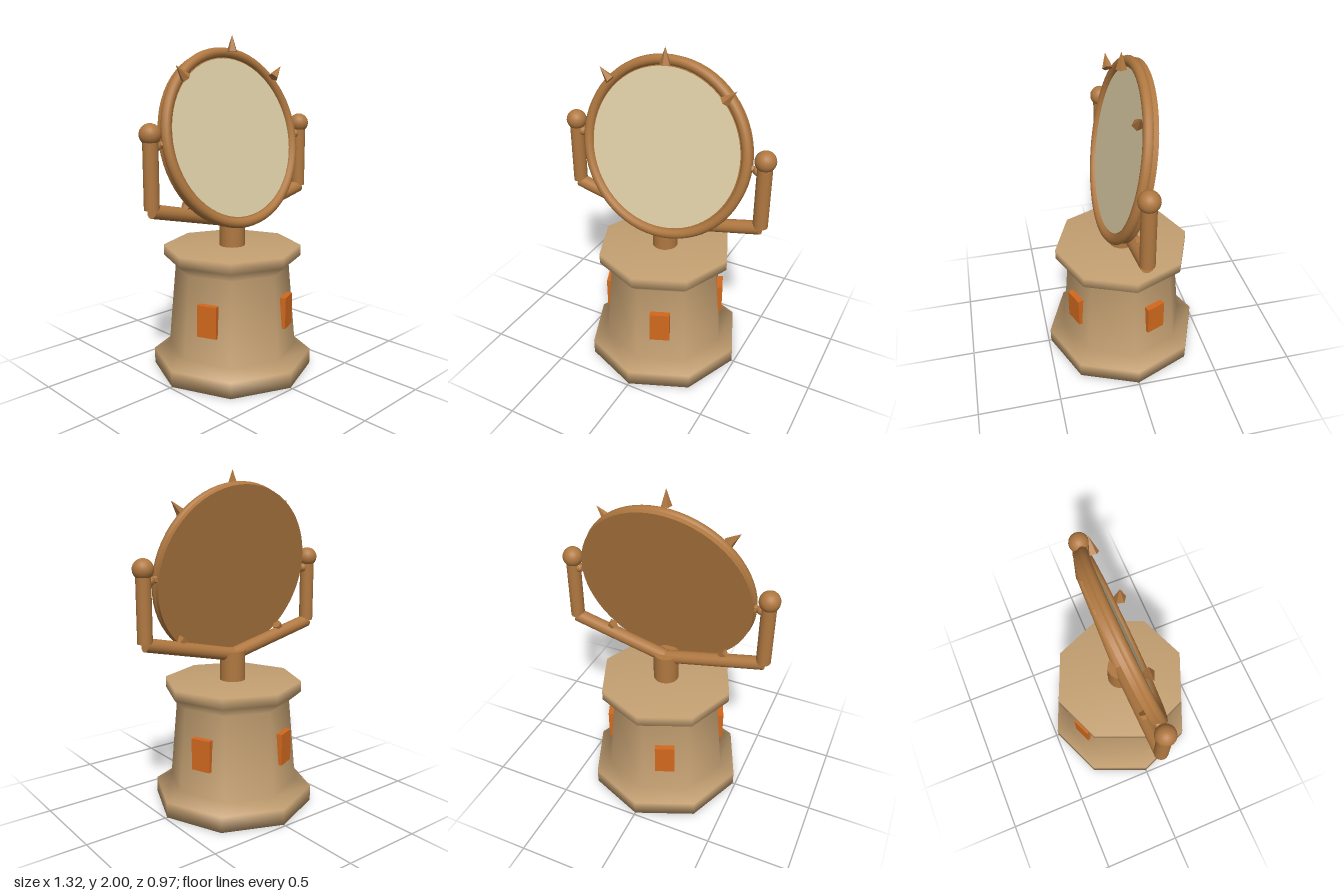
import * as THREE from 'three';

const mat = (name, color) => {
  const m = new THREE.MeshStandardMaterial({ color });
  m.name = name;
  return m;
};

export function createModel() {
  const sandstone = mat('sandstone', 0xc4a072);
  const bronze = mat('bronze', 0xb07840);
  const cream = mat('cream mirror', 0xe0d0a8);
  const orange = mat('orange window', 0xd2691e);

  const model = new THREE.Group();
  model.name = 'mirrorTower';

  const add = (parent, name, geometry, material, x = 0, y = 0, z = 0) => {
    const mesh = new THREE.Mesh(geometry, material);
    mesh.name = name;
    mesh.position.set(x, y, z);
    parent.add(mesh);
    return mesh;
  };

  // Cylinder running between two points
  const rod = (name, a, b, radius) => {
    const dir = b.clone().sub(a);
    const mesh = add(model, name, new THREE.CylinderGeometry(radius, radius, dir.length(), 16), bronze);
    mesh.position.copy(a).add(b).multiplyScalar(0.5);
    mesh.quaternion.setFromUnitVectors(new THREE.Vector3(0, 1, 0), dir.normalize());
  };

  // Eight-sided tower, softly shaded
  const profile = [
    [0, 0], [0.485, 0], [0.485, 0.095], [0.39, 0.14],
    [0.345, 0.64], [0.415, 0.7], [0.415, 0.765], [0, 0.765],
  ].map(([r, y]) => new THREE.Vector2(r, y));
  add(model, 'tower', new THREE.LatheGeometry(profile, 8), sandstone);

  // Windows on every other face
  for (let i = 0; i < 4; i++) {
    const a = Math.PI / 8 + (i * Math.PI) / 2;
    const w = add(model, 'window', new THREE.BoxGeometry(0.12, 0.19, 0.04), orange,
      Math.sin(a) * 0.347, 0.395, Math.cos(a) * 0.347);
    w.rotation.y = a;
  }

  // Post and yoke
  add(model, 'post', new THREE.CylinderGeometry(0.077, 0.077, 0.185, 16), bronze, 0, 0.853, 0);
  for (const s of [-1, 1]) {
    rod('yokeArm', new THREE.Vector3(0, 0.918, 0), new THREE.Vector3(s * 0.6, 1.057, 0), 0.04);
    rod('yokeUpright', new THREE.Vector3(s * 0.6, 1.065, 0), new THREE.Vector3(s * 0.6, 1.45, 0), 0.043);
    add(model, 'yokeBall', new THREE.SphereGeometry(0.06, 20, 14), bronze, s * 0.6, 1.47, 0);
    add(model, 'pivotKnob', new THREE.SphereGeometry(0.028, 12, 8), bronze, s * 0.56, 1.405, 0);
  }

  // Tilted mirror: backing disc, round rim and face
  const mirror = new THREE.Group();
  mirror.name = 'mirror';
  mirror.position.set(0, 1.41, 0);
  mirror.rotation.x = -0.21;
  model.add(mirror);
  const backing = add(mirror, 'backing', new THREE.CylinderGeometry(0.522, 0.522, 0.05, 64), bronze, 0, 0, -0.003);
  backing.rotation.x = Math.PI / 2;
  add(mirror, 'rim', new THREE.TorusGeometry(0.5, 0.03, 12, 64), bronze, 0, 0, 0.019);
  add(mirror, 'mirrorFace', new THREE.CircleGeometry(0.465, 64), cream, 0, 0, 0.026);

  // Eight upright spikes around the mirror
  const spike = new THREE.ConeGeometry(0.032, 0.095, 5).toNonIndexed();
  spike.computeVertexNormals();
  for (let i = 0; i < 8; i++) {
    const a = (i * Math.PI) / 4;
    const c = add(model, 'spike', spike, bronze, Math.sin(a) * 0.5425, 1.41 + Math.cos(a) * 0.5425, 0);
    c.rotation.z = -a;
  }
  return model;
}
